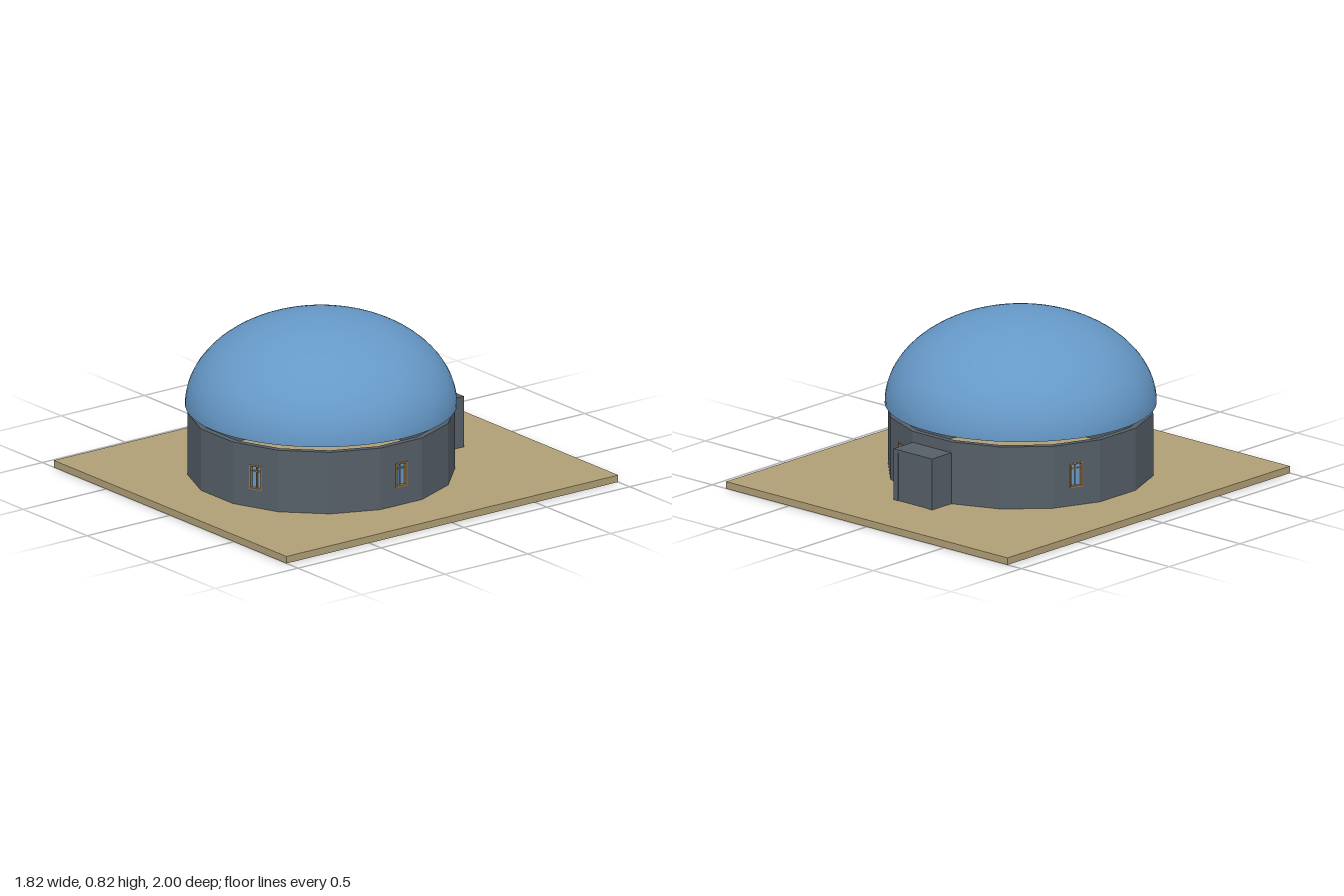
import * as THREE from 'three';

const SIDES = 16;
const APOTHEM = 0.628;
const FLOOR = 0.035;
const WALL_TOP = 0.345;
const THICK = 0.03;
const PANEL_W = 2 * APOTHEM * Math.tan(Math.PI / SIDES);
const WIN = { w: 0.068, bottom: 0.125, top: 0.247 };

function material(name, color, side = THREE.FrontSide) {
  const m = new THREE.MeshStandardMaterial({ color, side });
  m.name = name;
  return m;
}

function box(name, mat, w, h, d, x, y, z) {
  const mesh = new THREE.Mesh(new THREE.BoxGeometry(w, h, d), mat);
  mesh.name = name;
  mesh.position.set(x, y, z);
  return mesh;
}

function rect(Type, x0, y0, x1, y1) {
  const p = new Type();
  p.moveTo(x0, y0);
  p.lineTo(x1, y0);
  p.lineTo(x1, y1);
  p.lineTo(x0, y1);
  p.closePath();
  return p;
}

export function createModel() {
  const sand = material('sand', 0xb09f76);
  const slate = material('slate grey', 0x565f68);
  const blue = material('dome blue', 0x6699c8, THREE.DoubleSide);
  const wood = material('frame wood', 0x94774c);

  const model = new THREE.Group();
  model.name = 'domedHall';
  model.add(box('groundSlab', sand, 1.82, FLOOR, 2, 0, FLOOR / 2, 0));

  const hall = new THREE.Group();
  hall.name = 'roundHall';
  hall.position.z = 0.09;
  model.add(hall);

  // Window with a deep frame, glazing bars and a recessed pane
  function makeWindow() {
    const g = new THREE.Group();
    g.name = 'window';
    const { w, bottom, top } = WIN;
    const h = top - bottom, mid = (top + bottom) / 2, bar = 0.007;
    const depth = THICK + 0.003, z = -THICK / 2 + 0.0015;
    for (const s of [-1, 1]) {
      g.add(box('frameSide', wood, bar, h, depth, s * (w - bar) / 2, mid, z));
      g.add(box('frameEnd', wood, w - 2 * bar, bar, depth, 0, mid + s * (h - bar) / 2, z));
    }
    g.add(box('mullion', wood, 0.006, h - 2 * bar, 0.008, 0, mid, -0.014));
    g.add(box('transom', wood, w - 2 * bar, 0.006, 0.008, 0, bottom + h * 0.74, -0.014));
    g.add(box('pane', blue, w - 2 * bar, h - 2 * bar, 0.004, 0, mid, -0.018));
    return g;
  }

  // Wall panels; every third one from the entrance has a window
  for (let i = 0; i < SIDES; i++) {
    const hasWindow = i > 0 && i % 3 === 0;
    const shape = rect(THREE.Shape, -PANEL_W / 2, FLOOR, PANEL_W / 2, WALL_TOP);
    if (hasWindow) {
      shape.holes.push(rect(THREE.Path, -WIN.w / 2, WIN.bottom, WIN.w / 2, WIN.top));
    }
    const geo = new THREE.ExtrudeGeometry(shape, { depth: THICK, bevelEnabled: false });
    geo.translate(0, 0, -THICK);
    const panel = new THREE.Group();
    panel.name = 'wallSection';
    const wall = new THREE.Mesh(geo, slate);
    wall.name = 'wallPanel';
    panel.add(wall);
    if (hasWindow) panel.add(makeWindow());
    const a = Math.PI + (i * 2 * Math.PI) / SIDES;
    panel.rotation.y = a;
    panel.position.set(Math.sin(a) * APOTHEM, 0, Math.cos(a) * APOTHEM);
    hall.add(panel);
  }

  // Open half-ellipsoid dome hovering just above the walls
  const domeGeo = new THREE.SphereGeometry(0.65, 64, 24, 0, Math.PI * 2, 0, Math.PI / 2);
  domeGeo.scale(1, 0.45 / 0.65, 1);
  const dome = new THREE.Mesh(domeGeo, blue);
  dome.name = 'dome';
  dome.position.y = 0.375;
  hall.add(dome);

  // Entrance porch at the back: side walls, roof and a slightly recessed door
  const porch = new THREE.Group();
  porch.name = 'entrancePorch';
  const zBack = -0.675, zFront = -0.53, top = 0.29, roof = 0.015;
  const d = zFront - zBack, zMid = (zFront + zBack) / 2;
  const wallH = top - roof - FLOOR;
  for (const s of [-1, 1]) {
    porch.add(box('porchWall', slate, 0.03, wallH, d, s * 0.11, FLOOR + wallH / 2, zMid));
  }
  porch.add(box('porchRoof', slate, 0.25, roof, d, 0, top - roof / 2, zMid));
  porch.add(box('door', slate, 0.19, wallH, 0.02, 0, FLOOR + wallH / 2, zBack + 0.014));
  model.add(porch);

  return model;
}
